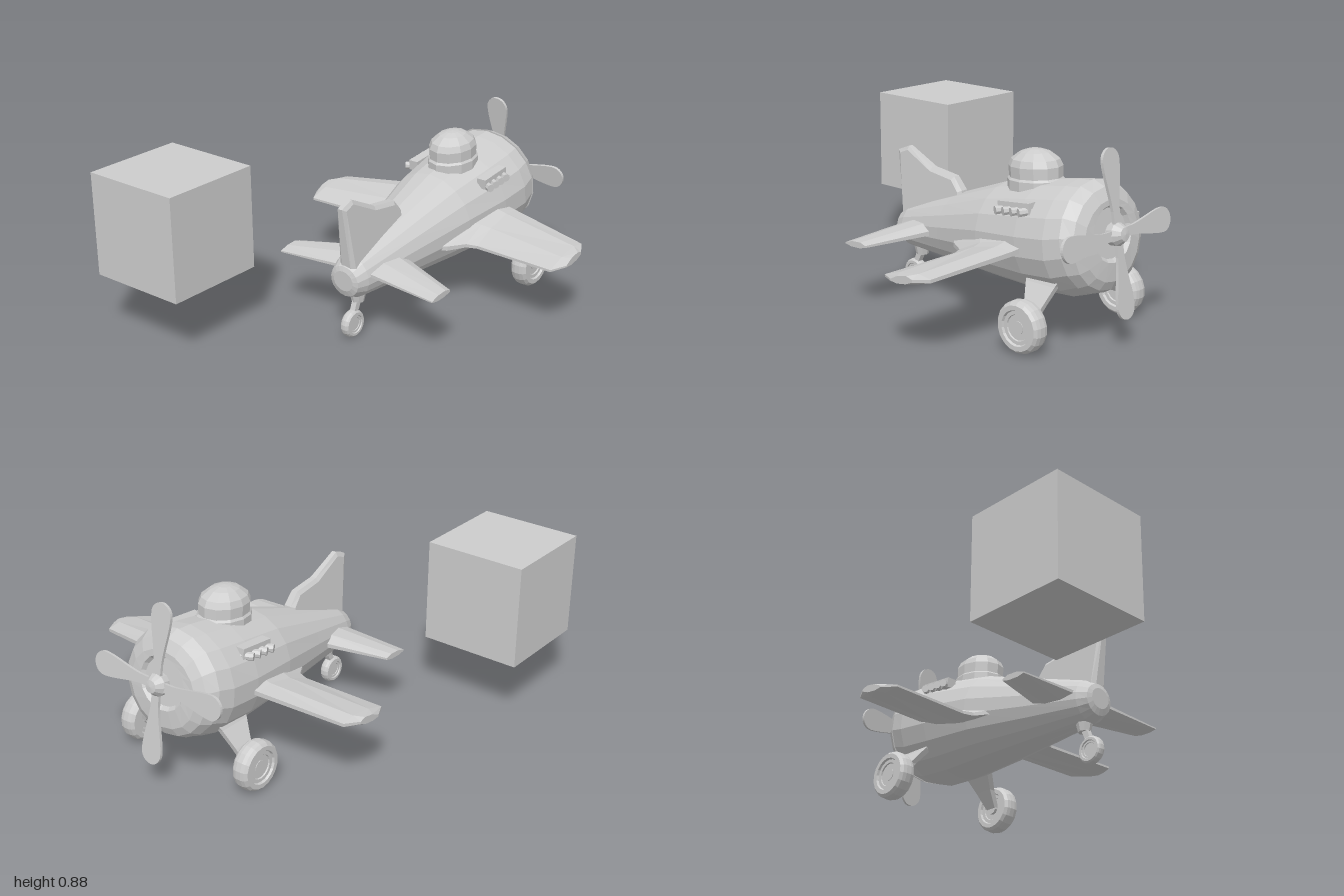
import * as THREE from 'three';

const grey = new THREE.MeshStandardMaterial({ color: 0xcccccc, flatShading: true });
grey.name = 'plain grey';

// Closed faceted skin through equal-length rings of [x, y, z]; always faces outward
function loft(rings) {
  const out = [];
  const tri = (a, b, c) => out.push([a, b, c]);
  const n = rings[0].length;
  for (let i = 0; i < rings.length - 1; i++) {
    for (let j = 0; j < n; j++) {
      const k = (j + 1) % n, a = rings[i], b = rings[i + 1];
      tri(a[j], b[j], b[k]);
      tri(a[j], b[k], a[k]);
    }
  }
  const cap = (r, flip) => {
    const c = [0, 1, 2].map(d => r.reduce((s, p) => s + p[d], 0) / n);
    for (let j = 0; j < n; j++) {
      const k = (j + 1) % n;
      if (flip) tri(c, r[k], r[j]); else tri(c, r[j], r[k]);
    }
  };
  cap(rings[0], false);
  cap(rings[rings.length - 1], true);
  const v = p => new THREE.Vector3(...p);
  const volume = out.reduce((s, [a, b, c]) => s + v(a).dot(v(b).cross(v(c))), 0);
  const flat = out.flatMap(([a, b, c]) => (volume < 0 ? [a, c, b] : [a, b, c]).flat());
  const g = new THREE.BufferGeometry();
  g.setAttribute('position', new THREE.Float32BufferAttribute(flat, 3));
  g.computeVertexNormals();
  return g;
}

function add(parent, name, geometry, x = 0, y = 0, z = 0) {
  const m = new THREE.Mesh(geometry, grey);
  m.name = name;
  m.position.set(x, y, z);
  parent.add(m);
  return m;
}

const lathe = (pts, sides) =>
  new THREE.LatheGeometry(pts.map(p => new THREE.Vector2(...p)), sides);

// Body ring from its top point, bottom point and half width
const bodyRing = ([xt, yt, xb, yb, w], sides = 18) => Array.from({ length: sides }, (_, i) => {
  const a = (i / sides) * Math.PI * 2, t = (1 + Math.cos(a)) / 2;
  return [xb + (xt - xb) * t, yb + (yt - yb) * t, w * Math.sin(a)];
});

// Wing section between trailing and leading edge
const foil = [[0, -0.3], [0, 0.1], [0.35, 0.9], [0.75, 1], [1, 0.3], [1, -0.3], [0.7, -0.8], [0.3, -0.8]];
const wingRing = ([z, xt, xl, yt, yl, h], side) =>
  foil.map(([u, v]) => [xt + (xl - xt) * u, yt + (yl - yt) * u + v * h, z * side]);

// Horizontal rectangle used by the legs
const plate = (x0, x1, y, z, t) => [[x0, y, z - t], [x1, y, z - t], [x1, y, z + t], [x0, y, z + t]];

// Wheel with rounded tyre and stepped hub, axle along z
function wheel(parent, name, r, w, x, y, z) {
  const h = w / 2;
  const half = [[0, 0.6], [0.48, 0.6], [0.5, 0.75], [0.64, 0.75], [0.68, 1], [0.86, 1], [0.96, 0.7], [1, 0.3]];
  const pts = [...half.map(([a, b]) => [a * r, -b * h]), ...half.reverse().map(([a, b]) => [a * r, b * h])];
  add(parent, name, lathe(pts, 18), x, y, z).rotation.x = Math.PI / 2;
}

export function createModel() {
  const model = new THREE.Group();
  model.name = 'planeAndCube';
  add(model, 'cube', new THREE.BoxGeometry(0.505, 0.505, 0.505), -0.7475, 0.5575, -0.6);

  const plane = new THREE.Group();
  plane.name = 'plane';
  plane.position.z = 0.08;
  model.add(plane);

  // Fuselage and engine cowl
  add(plane, 'fuselage', loft([
    [-0.362, 0.355, -0.357, 0.255, 0.055],
    [-0.355, 0.378, -0.345, 0.225, 0.08],
    [-0.3, 0.412, -0.295, 0.205, 0.102],
    [0, 0.52, 0.02, 0.195, 0.168],
    [0.3, 0.63, 0.33, 0.187, 0.238],
    [0.55, 0.685, 0.6, 0.183, 0.272],
    [0.71, 0.712, 0.77, 0.195, 0.278],
    [0.79, 0.717, 0.86, 0.232, 0.262],
  ].map(r => bodyRing(r))));
  add(plane, 'cowl', loft([
    [0.79, 0.724, 0.862, 0.228, 0.268],
    [0.85, 0.7, 0.9, 0.25, 0.236],
    [0.88, 0.65, 0.918, 0.29, 0.19],
    [0.882, 0.625, 0.918, 0.375, 0.13],
    [0.865, 0.61, 0.9, 0.39, 0.115],
  ].map(r => bodyRing(r))));

  // Canopy dome
  const canopy = add(plane, 'canopy', lathe([
    [0, -0.06], [0.14, -0.06], [0.14, 0.025], [0.13, 0.035], [0.132, 0.085],
    [0.118, 0.115], [0.075, 0.145], [0.035, 0.157], [0, 0.16],
  ], 12), 0.478, 0.652, 0.012);
  canopy.scale.z = 0.83;
  canopy.rotation.z = 0.06;

  // Tail fin, thinning toward the top
  const outline = [[-0.345, 0.34], [-0.39, 0.672], [-0.32, 0.7], [-0.16, 0.62], [-0.015, 0.6], [0.035, 0.54], [0.05, 0.45]];
  const fin = new THREE.ExtrudeGeometry(new THREE.Shape(outline.map(p => new THREE.Vector2(...p))), {
    depth: 0.05, bevelThickness: 0.02, bevelSize: 0.018, bevelOffset: -0.018, bevelSegments: 1,
  });
  fin.translate(0, 0, -0.025);
  const fp = fin.attributes.position;
  for (let i = 0; i < fp.count; i++) {
    fp.setZ(i, fp.getZ(i) * THREE.MathUtils.mapLinear(fp.getY(i), 0.35, 0.7, 1.05, 0.45));
  }
  fin.computeVertexNormals();
  add(plane, 'tailFin', fin, 0, 0, 0.01);

  for (const side of [1, -1]) {
    const label = side > 0 ? 'left' : 'right';

    // Main wing with flared root
    add(plane, label + 'Wing', loft([
      [0.1, 0.08, 0.66, 0.36, 0.43, 0.06],
      [0.2, 0.16, 0.63, 0.35, 0.425, 0.055],
      [0.25, 0.245, 0.605, 0.348, 0.42, 0.042],
      [0.3, 0.262, 0.598, 0.347, 0.415, 0.036],
      [0.715, 0.25, 0.525, 0.345, 0.377, 0.026],
      [0.755, 0.325, 0.455, 0.352, 0.372, 0.02],
    ].map(r => wingRing(r, side))), 0, 0, 0.013);

    // Tailplane
    add(plane, label + 'Tailplane', loft([
      [0, -0.28, -0.02, 0.34, 0.345, 0.04],
      [0.12, -0.285, -0.055, 0.335, 0.34, 0.036],
      [0.447, -0.3, -0.165, 0.315, 0.32, 0.016],
    ].map(r => wingRing(r, side))), 0, 0, 0.013);

    // Exhaust stubs
    const exhaust = new THREE.Group();
    exhaust.name = label + 'Exhaust';
    exhaust.position.set(0.535, 0.588, side * 0.215);
    exhaust.rotation.z = 0.1;
    plane.add(exhaust);
    add(exhaust, 'exhaustPlate', new THREE.BoxGeometry(0.18, 0.05, 0.05), 0, 0.005, -side * 0.01);
    for (let i = 0; i < 4; i++) {
      const stub = add(exhaust, 'exhaustStub', new THREE.CylinderGeometry(0.02, 0.018, 0.06, 8),
        -0.07 + i * 0.045, -0.008, side * 0.015);
      stub.rotation.set(side * Math.PI / 2, 0, side * 0.6, 'YZX');
      stub.rotation.y = -side * 0.5;
    }

    // Landing gear leg, axle and wheel
    add(plane, label + 'Leg', loft([
      plate(0.59, 0.79, 0.34, side * 0.17, 0.02),
      plate(0.605, 0.765, 0.28, side * 0.205, 0.018),
      plate(0.645, 0.745, 0.2, side * 0.265, 0.016),
      plate(0.665, 0.725, 0.12, side * 0.315, 0.014),
    ]));
    wheel(plane, label + 'Wheel', 0.119, 0.086, 0.693, 0.122, side * 0.346);
    add(plane, label + 'Axle', new THREE.CylinderGeometry(0.03, 0.03, 0.07, 10),
      0.693, 0.122, side * 0.34).rotation.x = Math.PI / 2;
  }

  // Tail wheel with fork
  wheel(plane, 'tailWheel', 0.067, 0.046, -0.297, 0.067, 0.002);
  add(plane, 'tailWheelMount', new THREE.CylinderGeometry(0.04, 0.03, 0.045, 8), -0.255, 0.19, 0.002);
  add(plane, 'tailWheelStrut', loft([
    plate(-0.275, -0.24, 0.19, 0.002, 0.014),
    plate(-0.3, -0.27, 0.125, 0.002, 0.014),
  ]));

  // Propeller, tilted back at the top
  const propeller = new THREE.Group();
  propeller.name = 'propeller';
  propeller.position.set(0.928, 0.505, 0.002);
  propeller.rotation.z = 0.165;
  plane.add(propeller);
  const blade = new THREE.Shape();
  blade.moveTo(-0.02, 0);
  blade.lineTo(-0.022, 0.1);
  blade.bezierCurveTo(-0.03, 0.18, -0.056, 0.26, -0.056, 0.315);
  blade.absarc(0, 0.318, 0.056, Math.PI, 0, true);
  blade.bezierCurveTo(0.056, 0.26, 0.03, 0.18, 0.022, 0.1);
  blade.lineTo(0.02, 0);
  const bladeGeo = new THREE.ExtrudeGeometry(blade, { depth: 0.014, bevelEnabled: false, curveSegments: 8 });
  bladeGeo.translate(0, 0, -0.007).rotateY(Math.PI / 2);
  for (let i = 0; i < 4; i++) add(propeller, 'blade', bladeGeo).rotation.x = (i * Math.PI) / 2;
  add(propeller, 'spinner', lathe([
    [0, -0.07], [0.03, -0.07], [0.032, -0.04], [0.05, -0.03], [0.053, 0.005], [0.042, 0.022], [0.03, 0.04], [0, 0.044],
  ], 12)).rotation.z = -Math.PI / 2;

  return model;
}
